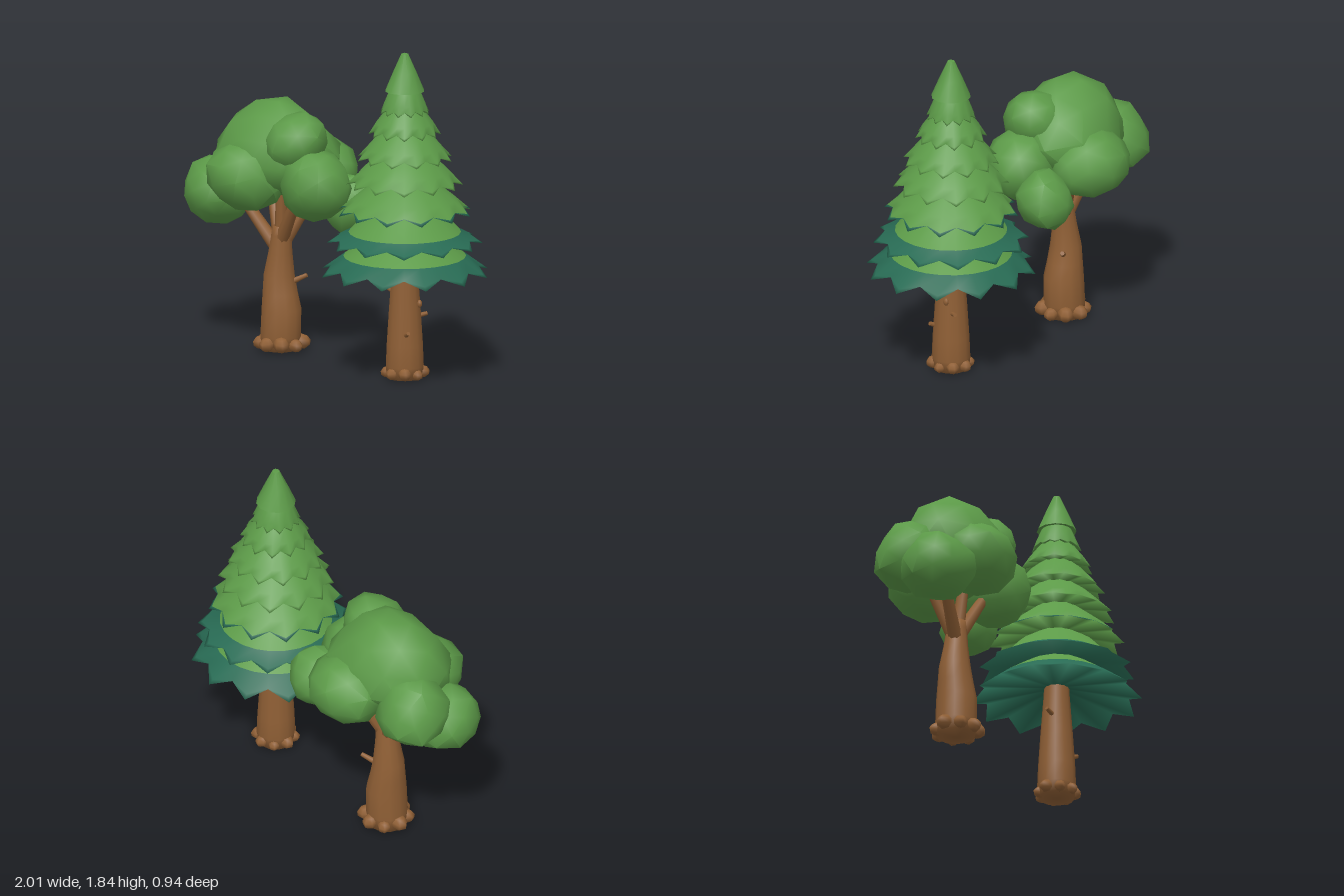
import * as THREE from 'three';
import { mergeVertices, toCreasedNormals } from 'three/addons/utils/BufferGeometryUtils.js';

const mat = (name, color) => {
  const m = new THREE.MeshStandardMaterial({ color });
  m.name = name;
  return m;
};

// Skin a stack of rings, listed bottom to top: [y, r, cx, cz, oddR, oddY].
// Odd corners may use their own radius and height, which makes zigzag hems.
function loft(rings, sides, crease, rowMaterials) {
  const corner = ([y, r, cx = 0, cz = 0, oddR = r, oddY = y], j) => {
    const a = (j / sides) * Math.PI * 2, rr = j % 2 ? oddR : r;
    return [cx + Math.sin(a) * rr, j % 2 ? oddY : y, cz + Math.cos(a) * rr];
  };
  const pos = [];
  for (let i = 0; i < rings.length - 1; i++) {
    for (let j = 0; j < sides; j++) {
      const a = corner(rings[i], j), b = corner(rings[i], (j + 1) % sides);
      const c = corner(rings[i + 1], (j + 1) % sides), d = corner(rings[i + 1], j);
      pos.push(...a, ...b, ...c, ...a, ...c, ...d);
    }
  }
  let g = new THREE.BufferGeometry();
  g.setAttribute('position', new THREE.Float32BufferAttribute(pos, 3));
  g = toCreasedNormals(g, crease);
  if (rowMaterials) rowMaterials.forEach((m, i) => g.addGroup(i * sides * 6, sides * 6, m));
  return g;
}

export function createModel() {
  const leaf = mat('leafGreen', 0x5c9a48);
  const teal = mat('deepTeal', 0x286b54);
  const bark = mat('barkBrown', 0x8f5f35);

  const model = new THREE.Group();
  model.name = 'twoTrees';
  const add = (parent, name, geometry, material) => {
    const m = new THREE.Mesh(geometry, material);
    m.name = name;
    parent.add(m);
    return m;
  };

  // Tapered stick between two points
  const stick = (parent, name, from, to, r0, r1) => {
    const a = new THREE.Vector3(...from), b = new THREE.Vector3(...to);
    const d = b.clone().sub(a);
    const m = add(parent, name, new THREE.CylinderGeometry(r1, r0, d.length(), 8), bark);
    m.position.copy(a).addScaledVector(d, 0.5);
    m.quaternion.setFromUnitVectors(new THREE.Vector3(0, 1, 0), d.normalize());
  };

  // Ring of stubby roots around a trunk foot
  const roots = (parent, count, radius, size) => {
    for (let i = 0; i < count; i++) {
      const a = (i / count) * Math.PI * 2;
      const m = add(parent, 'root', new THREE.SphereGeometry(1, 7, 5), bark);
      const s = size * (1 + 0.1 * Math.sin(i * 2.3));
      m.scale.set(s, s * 0.95, s * 1.3);
      m.position.set(Math.sin(a) * radius, s * 1.25, Math.cos(a) * radius);
      m.rotation.set(0.15, a, 0, 'YXZ');
    }
  };

  // ---- Conifer ----
  const pine = new THREE.Group();
  pine.name = 'conifer';
  pine.position.x = 0.53;
  model.add(pine);

  add(pine, 'coniferTrunk', loft([[0.008, 0], [0.012, 0.1], [0.08, 0.108], [0.2, 0.103],
    [0.4, 0.09], [0.62, 0.073], [0.85, 0.06]], 12, 3), bark);
  roots(pine, 8, 0.09, 0.036);
  stick(pine, 'twig', [-0.07, 0.49, 0.02], [-0.125, 0.505, 0.02], 0.014, 0.011);
  stick(pine, 'twig', [0.07, 0.27, 0.06], [0.1, 0.285, 0.07], 0.014, 0.011);
  stick(pine, 'twig', [0.05, 0.36, -0.045], [0.08, 0.372, -0.095], 0.014, 0.011);
  const knot = add(pine, 'knot', new THREE.SphereGeometry(0.015, 8, 6), bark);
  knot.scale.y = 1.5;
  knot.position.set(0.082, 0.435, -0.033);

  // Domed needle tiers, as radius and height at hem, shoulder, crown and top
  const tiers = [
    [0.472, 0.6, 0.338, 0.7, 0.22, 0.78, 0.12, 0.84],
    [0.432, 0.77, 0.31, 0.835, 0.22, 0.93, 0.11, 1.0],
    [0.375, 0.94, 0.285, 1.02, 0.2, 1.09, 0.1, 1.17],
    [0.322, 1.1, 0.247, 1.175, 0.185, 1.235, 0.09, 1.31],
    [0.268, 1.245, 0.21, 1.31, 0.15, 1.38, 0.08, 1.44],
    [0.2, 1.385, 0.16, 1.45, 0.115, 1.51, 0.07, 1.57],
    [0.138, 1.505, 0.115, 1.56, 0.086, 1.63, 0.05, 1.69],
  ];
  const colours = [leaf, teal];
  tiers.forEach(([R, y, rm, ym, rc, yc, rt, yt], i) => {
    const h = ym - y, notchR = R * 0.86, notchY = y + h * 0.45;
    const k = 0.2; // narrow tip band above the hem
    const rings = [
      [y + h * 0.75, 0.04],
      [y, R, 0, 0, notchR, notchY],
      [y + h * k, R + (rm - R) * k, 0, 0, notchR + (rm - notchR) * 0.03, notchY + (ym - notchY) * 0.03],
      [ym, rm],
      [yc, rc],
      [yt, rt],
    ];
    const rows = i < 2 ? [1, 1, 1, 0, 0] : i === 2 ? [0, 1, 0, 0, 0] : [0, 0, 0, 0, 0];
    const tier = add(pine, 'needleTier', loft(rings, 24, 3.1, rows), colours);
    tier.rotation.y = (i % 2) * Math.PI / 12;
  });
  add(pine, 'treeTip', loft([[1.645, 0], [1.63, 0.11], [1.735, 0.066], [1.838, 0.02], [1.845, 0]], 12, 0.8), leaf);

  // ---- Broadleaf ----
  const oak = new THREE.Group();
  oak.name = 'broadleaf';
  oak.position.x = -0.44;
  model.add(oak);

  add(oak, 'broadleafTrunk', loft([[0.008, 0], [0.014, 0.11, -0.01], [0.09, 0.116, -0.005], [0.24, 0.113, 0],
    [0.33, 0.1, -0.01], [0.43, 0.088, -0.018], [0.56, 0.068, -0.008], [0.66, 0.058, 0], [0.71, 0.05, 0.005],
    [0.72, 0, 0.005]], 12, 3), bark);
  roots(oak, 8, 0.105, 0.043);
  stick(oak, 'twig', [0.04, 0.39, -0.03], [0.115, 0.435, -0.085], 0.018, 0.012);
  [
    [[-0.02, 0.58, 0.01], [-0.24, 0.86, 0.08]],
    [[-0.02, 0.62, -0.01], [-0.16, 0.9, -0.08]],
    [[0, 0.62, 0], [0.03, 0.95, 0.03]],
    [[0.01, 0.63, 0.01], [0.19, 0.92, 0.06]],
    [[0.01, 0.62, -0.01], [0.12, 0.92, -0.16]],
  ].forEach(([a, b]) => stick(oak, 'branch', a, b, 0.04, 0.028));

  // Lumpy leaf clumps: centre, radii, then how far the top narrows
  const clump = (seed, [x, y, z, rx, ry, rz, taper = 0]) => {
    let g = new THREE.IcosahedronGeometry(1, 1);
    g.deleteAttribute('normal');
    g.deleteAttribute('uv');
    g = mergeVertices(g, 1e-3);
    g.rotateY(seed * 1.3).rotateX(seed * 0.7);
    const p = g.attributes.position;
    for (let i = 0; i < p.count; i++) {
      const s = 1.02 + 0.075 * Math.sin(i * 12.9 + seed * 4.1);
      const t = s * (1 - taper * p.getY(i));
      p.setXYZ(i, p.getX(i) * t * rx, p.getY(i) * s * ry, p.getZ(i) * t * rz);
    }
    add(model, 'leafClump', toCreasedNormals(g, 0.9), leaf).position.set(x, y, z);
  };
  [
    [-0.46, 1.14, 0, 0.355, 0.27, 0.305, 0.2],
    [-0.805, 0.87, 0.13, 0.205, 0.185, 0.2],
    [-0.78, 1.0, -0.08, 0.2, 0.195, 0.195, 0.2],
    [-0.535, 1.015, 0.19, 0.238, 0.205, 0.205],
    [-0.13, 0.985, 0.05, 0.2, 0.205, 0.185],
    [-0.06, 0.865, -0.17, 0.16, 0.165, 0.165],
    [-0.255, 1.22, 0.06, 0.172, 0.16, 0.185],
    [-0.38, 1.015, -0.23, 0.245, 0.19, 0.205, 0.08],
  ].forEach((c, i) => clump(i + 1, c));

  return model;
}
